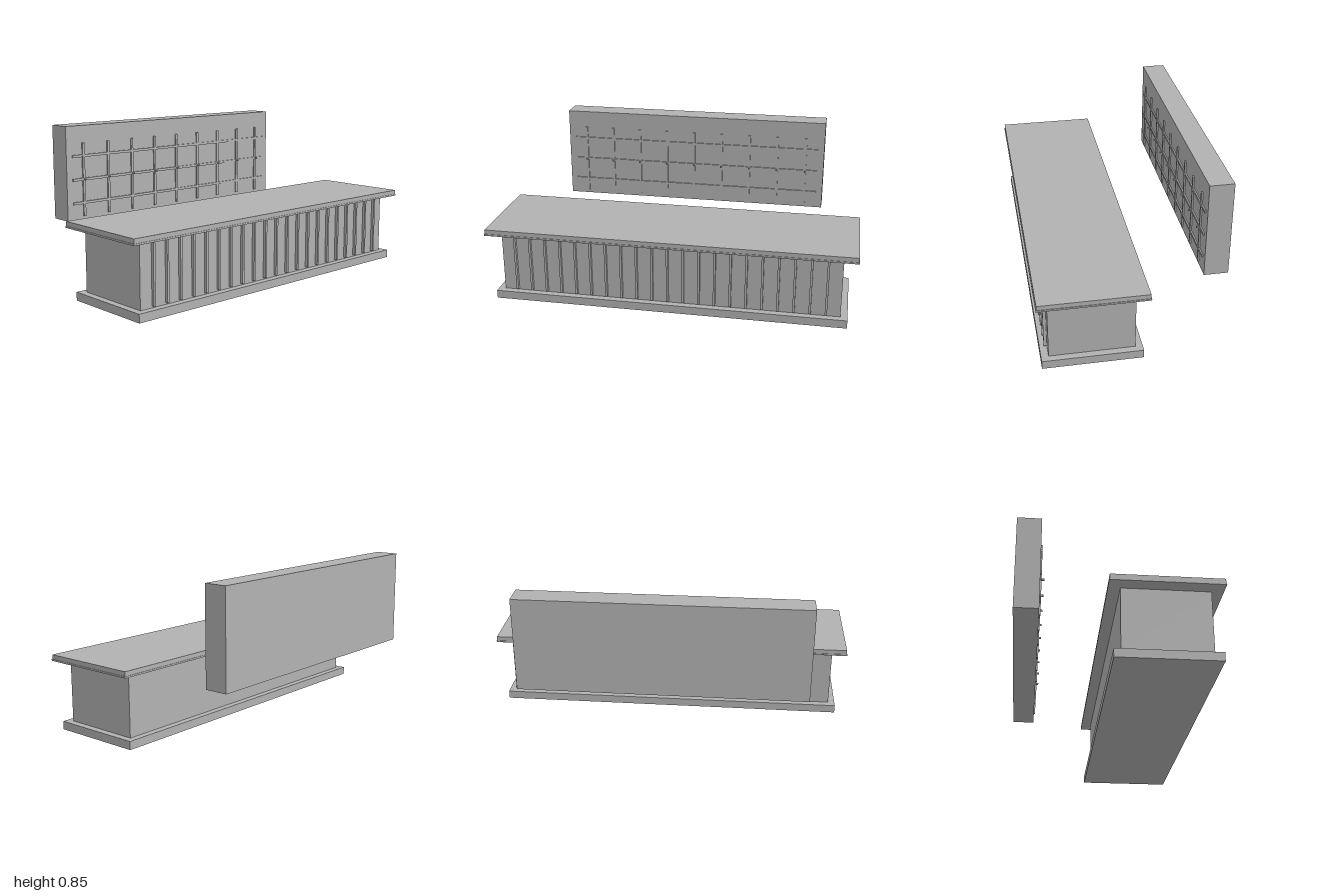
import * as THREE from 'three';

export function createModel() {
  const model = new THREE.Group();
  model.name = 'barCounter';
  const grey = new THREE.MeshStandardMaterial({ color: 0xb2b2b2 });
  grey.name = 'plainGrey';

  // Box given by its extents on each axis
  function box(name, parent, [x0, x1], [y0, y1], [z0, z1]) {
    const mesh = new THREE.Mesh(new THREE.BoxGeometry(x1 - x0, y1 - y0, z1 - z0), grey);
    mesh.position.set((x0 + x1) / 2, (y0 + y1) / 2, (z0 + z1) / 2);
    mesh.name = name;
    parent.add(mesh);
    return mesh;
  }
  function group(name) {
    const g = new THREE.Group();
    g.name = name;
    model.add(g);
    return g;
  }

  // Counter: plinth, body, worktop with a slightly wider lower lip
  const counter = group('counter');
  box('plinth', counter, [-0.96, 0.96], [0, 0.045], [-0.032, 0.484]);
  box('body', counter, [-0.923, 0.923], [0.045, 0.381], [0.005, 0.446]);
  box('worktopLip', counter, [-1, 1], [0.381, 0.39], [-0.055, 0.505]);
  box('worktop', counter, [-0.997, 0.997], [0.39, 0.414], [-0.052, 0.502]);

  // Vertical slats on the counter front
  const slats = group('frontSlats');
  for (let i = -10; i <= 10; i++) {
    const x = i * 0.0847;
    box('slat', slats, [x - 0.006, x + 0.006], [0.054, 0.377], [0.444, 0.462]);
  }

  // Wall panel behind the counter
  const wall = group('backWall');
  box('panel', wall, [-0.773, 0.773], [0.333, 0.853], [-0.503, -0.375]);

  // Lattice of rails and uprights, with a peg at each middle crossing
  const lattice = group('lattice');
  for (const y of [0.427, 0.557, 0.687]) {
    box('rail', lattice, [-0.737, 0.737], [y - 0.007, y + 0.007], [-0.376, -0.3675]);
  }
  for (let i = -4; i <= 4; i++) {
    const x = i * 0.1663;
    box('upright', lattice, [x - 0.007, x + 0.007], [0.352, 0.758], [-0.376, -0.367]);
    box('peg', lattice, [x - 0.004, x + 0.004], [0.553, 0.561], [-0.368, -0.353]);
  }
  return model;
}
